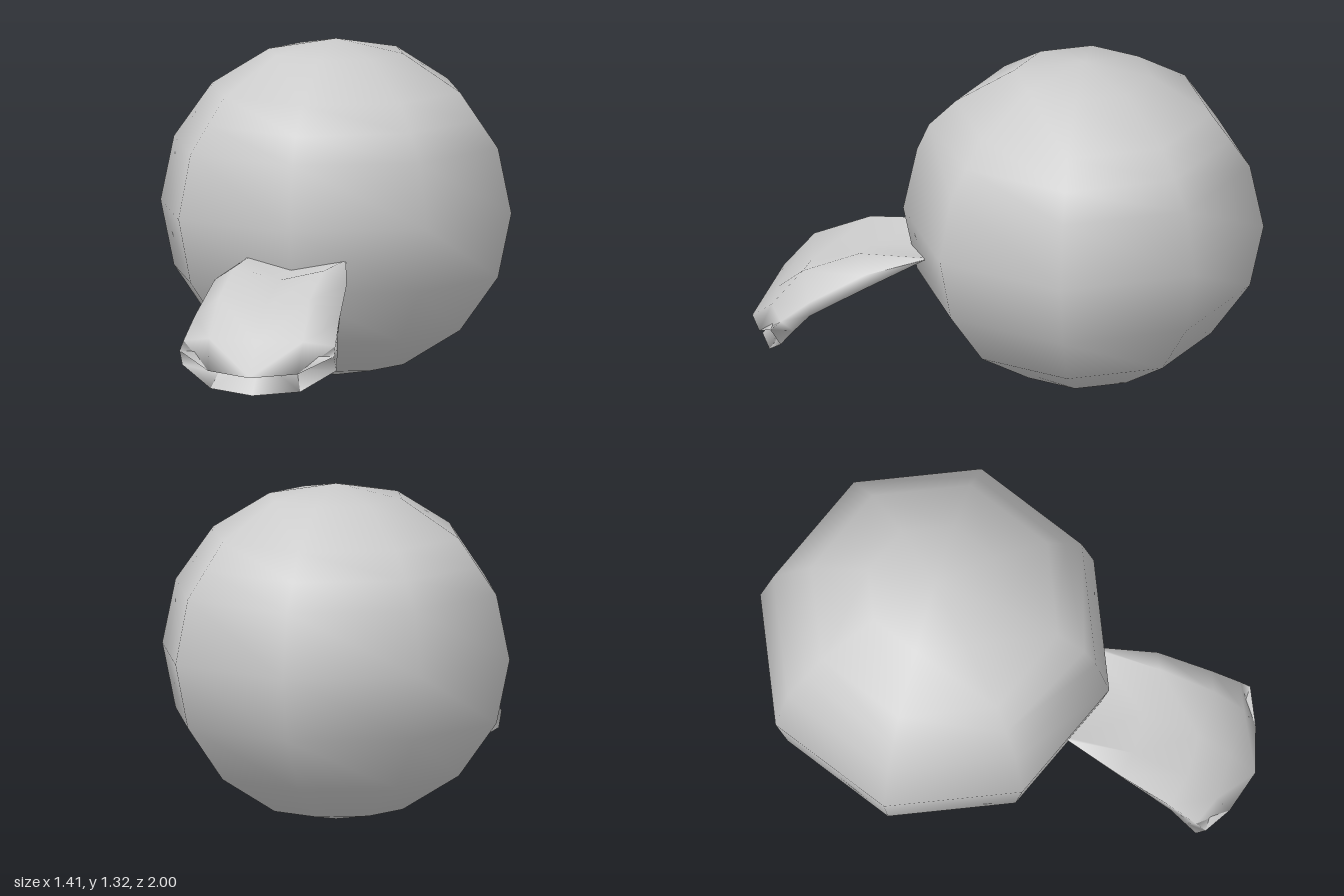
import * as THREE from 'three';
import { mergeVertices } from 'three/addons/utils/BufferGeometryUtils.js';

const material = new THREE.MeshStandardMaterial({ color: 0xcccccc, side: THREE.DoubleSide });

// Eight-sided ball with one extra ring that bulges slightly at the front
function bodyGeometry() {
  const R = 0.705, H = 0.66, profile = [];
  for (let i = 0; i <= 8; i++) {
    const a = (i * Math.PI) / 8;
    profile.push(new THREE.Vector2(R * Math.sin(a), -H * Math.cos(a)));
    if (i === 5) {
      const b = ((i + 1) * Math.PI) / 8;
      profile.push(new THREE.Vector2(
        R * (Math.sin(a) + Math.sin(b)) / 2,
        -H * (Math.cos(a) + Math.cos(b)) / 2));
    }
  }
  const bulgeY = profile[6].y;
  let geo = new THREE.LatheGeometry(profile, 8);
  const p = geo.attributes.position;
  for (let i = 0; i < p.count; i++) {
    if (Math.abs(p.getY(i) - bulgeY) < 1e-4 && Math.abs(p.getX(i)) < 1e-4 && p.getZ(i) > 0) p.setZ(i, 0.605);
  }
  geo.deleteAttribute('normal');
  geo.deleteAttribute('uv');
  geo = mergeVertices(geo);
  geo.computeVertexNormals();
  return geo;
}

// Half sections, root to tip: top centre, ridge, upper edge, lower edge, underside, under centre
const sections = [
  [[0, 0.515, 0.3], [0.19, 0.54, 0.3], [0.2, 0.538, 0.3], [0.2, 0.535, 0.3], [0.12, 0.525, 0.3], [0, 0.51, 0.3]],
  [[0, 0.495, 0.55], [0.18, 0.54, 0.56], [0.265, 0.485, 0.53], [0.25, 0.41, 0.55], [0.14, 0.42, 0.55], [0, 0.42, 0.55]],
  [[0, 0.42, 0.77], [0.18, 0.455, 0.78], [0.29, 0.37, 0.74], [0.285, 0.31, 0.74], [0.15, 0.32, 0.74], [0, 0.33, 0.74]],
  [[0, 0.3, 0.9], [0.19, 0.31, 0.9], [0.305, 0.29, 0.85], [0.3, 0.25, 0.8], [0.17, 0.23, 0.82], [0, 0.23, 0.84]],
  [[0, 0.175, 1], [0.18, 0.19, 0.95], [0.31, 0.255, 0.89], [0.31, 0.195, 0.85], [0.18, 0.115, 0.91], [0, 0.1, 0.96]],
];

// Loft the mirrored sections into a grooved, drooping tongue
function tongueGeometry() {
  const pos = [], index = [], n = 10;
  for (const half of sections) {
    const mirrored = half.slice(1, 5).reverse().map(([x, y, z]) => [-x, y, z]);
    pos.push(...half.flat(), ...mirrored.flat());
  }
  for (let i = 0; i < sections.length - 1; i++) {
    for (let j = 0; j < n; j++) {
      const k = (j + 1) % n;
      const a = i * n + j, b = i * n + k, c = a + n, d = b + n;
      // diagonals run symmetrically on both halves
      if (j < n / 2) index.push(a, c, b, b, c, d);
      else index.push(a, c, d, a, d, b);
    }
  }
  // close the blunt tip
  const t = (sections.length - 1) * n;
  for (let j = 0; j < 4; j++) {
    const a = t + j, b = t + j + 1, c = t + ((n - j) % n), d = t + n - j - 1;
    if (j > 0) index.push(a, c, b);
    index.push(b, c, d);
  }
  index.push(t + 4, t + 6, t + 5);
  const geo = new THREE.BufferGeometry();
  geo.setAttribute('position', new THREE.Float32BufferAttribute(pos, 3));
  geo.setIndex(index);
  geo.computeVertexNormals();
  return geo;
}

export function createModel() {
  const group = new THREE.Group();

  const body = new THREE.Mesh(bodyGeometry(), material);
  body.name = 'roundBody';
  body.position.set(0, 0.663, -0.295);

  const tongue = new THREE.Mesh(tongueGeometry(), material);
  tongue.name = 'tongue';

  group.add(body, tongue);
  return group;
}
